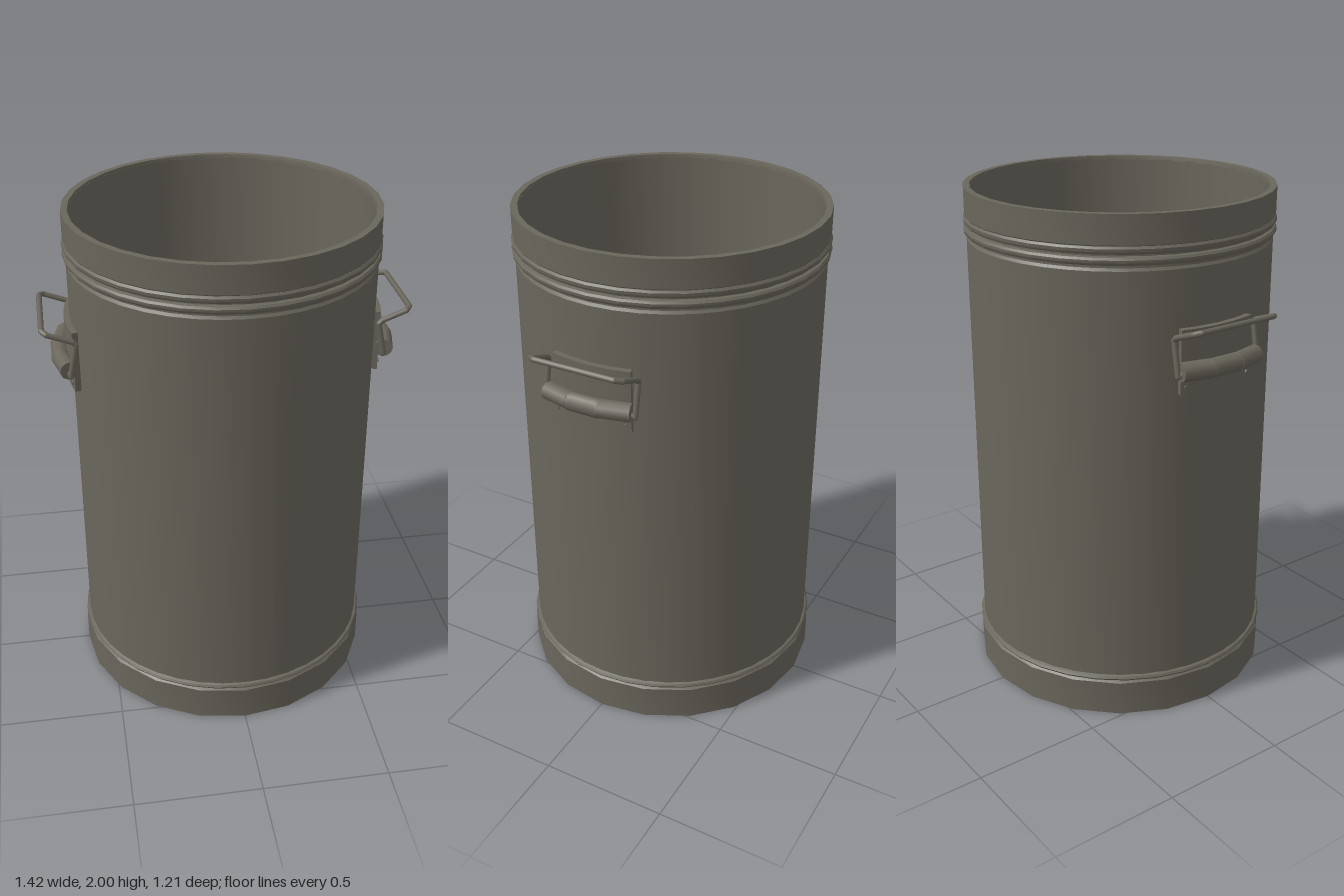
import * as THREE from 'three';
import { mergeGeometries, toCreasedNormals } from 'three/addons/utils/BufferGeometryUtils.js';

const metal = new THREE.MeshStandardMaterial({ color: 0x6a665c });
metal.name = 'drum metal';

function part(name, geometry) {
  const mesh = new THREE.Mesh(geometry, metal);
  mesh.name = name;
  return mesh;
}

// Turned part with crisp profile corners
function turned(name, profile, sides) {
  const points = profile.map(([r, y]) => new THREE.Vector2(r, y));
  return part(name, toCreasedNormals(new THREE.LatheGeometry(points, sides), 0.6));
}

// Chain of straight round rods with ball joints at the bends
function rodChain(points, radius, sides) {
  const v = points.map((p) => new THREE.Vector3(...p));
  const pieces = [];
  for (let i = 0; i < v.length - 1; i++) {
    const dir = v[i + 1].clone().sub(v[i]);
    const rod = new THREE.CylinderGeometry(radius, radius, dir.length(), sides);
    rod.applyQuaternion(new THREE.Quaternion().setFromUnitVectors(
      new THREE.Vector3(0, 1, 0), dir.clone().normalize()));
    const mid = v[i].clone().add(v[i + 1]).multiplyScalar(0.5);
    pieces.push(rod.translate(mid.x, mid.y, mid.z));
    if (i > 0) pieces.push(new THREE.SphereGeometry(radius, sides, 6).translate(v[i].x, v[i].y, v[i].z));
  }
  return mergeGeometries(pieces);
}

// Mounting plate, bail and grip on the +x side
function createHandle() {
  const handle = new THREE.Group();

  // Plate curved around the drum
  const outer = 0.612, inner = 0.58, half = 0.27;
  const arc = new THREE.Shape();
  arc.absarc(0, 0, outer, -half, half, false);
  arc.absarc(0, 0, inner, half, -half, true);
  const plate = new THREE.ExtrudeGeometry(arc, { depth: 0.245, bevelEnabled: false, curveSegments: 6 });
  plate.rotateX(-Math.PI / 2).translate(0, 1.34, 0);
  handle.add(part('mountingPlate', plate));

  // Rivets in the plate corners
  for (const y of [1.37, 1.555]) {
    for (const angle of [-0.235, 0.235]) {
      const rivet = new THREE.CylinderGeometry(0.008, 0.008, 0.012, 8);
      rivet.rotateZ(Math.PI / 2).translate(outer, y, 0).rotateY(angle);
      handle.add(part('rivet', rivet));
    }
  }

  // Wire bail: up beside the plate, then leaning outward
  const side = [[0.607, 1.43, 0.165], [0.603, 1.42, 0.187], [0.578, 1.55, 0.187],
    [0.59, 1.562, 0.187], [0.682, 1.597, 0.187], [0.7, 1.604, 0.165]];
  const mirrored = side.map(([x, y, z]) => [x, y, -z]).reverse();
  handle.add(part('bail', rodChain([...side, ...mirrored], 0.011, 8)));

  // Thick bowed grip
  handle.add(part('grip', rodChain(
    [[0.607, 1.437, 0.175], [0.635, 1.437, 0.06], [0.635, 1.437, -0.06], [0.607, 1.437, -0.175]],
    0.036, 10)));
  return handle;
}

export function createModel() {
  const model = new THREE.Group();
  model.name = 'drum';

  // Open shell: outside wall, thin rim edge, inside wall and floor
  model.add(turned('shell', [
    [0.59, 0.02], [0.59, 1.8], [0.583, 1.81], [0.583, 1.99], [0.57, 1.99],
    [0.57, 0.03], [0, 0.03]], 40));

  // Base band with a rolled bead above it
  model.add(turned('baseBand', [
    [0, 0], [0.605, 0], [0.605, 0.14], [0.594, 0.15], [0.585, 0.15]], 20));
  model.add(turned('baseBead', [
    [0.585, 0.146], [0.6, 0.152], [0.605, 0.16], [0.6, 0.168], [0.585, 0.174]], 32));

  // Collar at the mouth
  model.add(turned('topCollar', [
    [0.575, 1.885], [0.592, 1.885], [0.597, 1.892], [0.597, 2], [0.572, 2], [0.57, 1.985]], 32));

  // Two rolled beads below the collar
  for (const [y, r] of [[1.875, 0.602], [1.836, 0.602]]) {
    model.add(turned('rimBead', [
      [0.575, y - 0.02], [r - 0.006, y - 0.014], [r, y - 0.005],
      [r, y + 0.005], [r - 0.006, y + 0.013], [0.575, y + 0.018]], 32));
  }

  // Handles on both sides
  const left = createHandle();
  left.name = 'leftHandle';
  const right = createHandle();
  right.name = 'rightHandle';
  right.rotation.y = Math.PI;
  model.add(left, right);
  return model;
}
